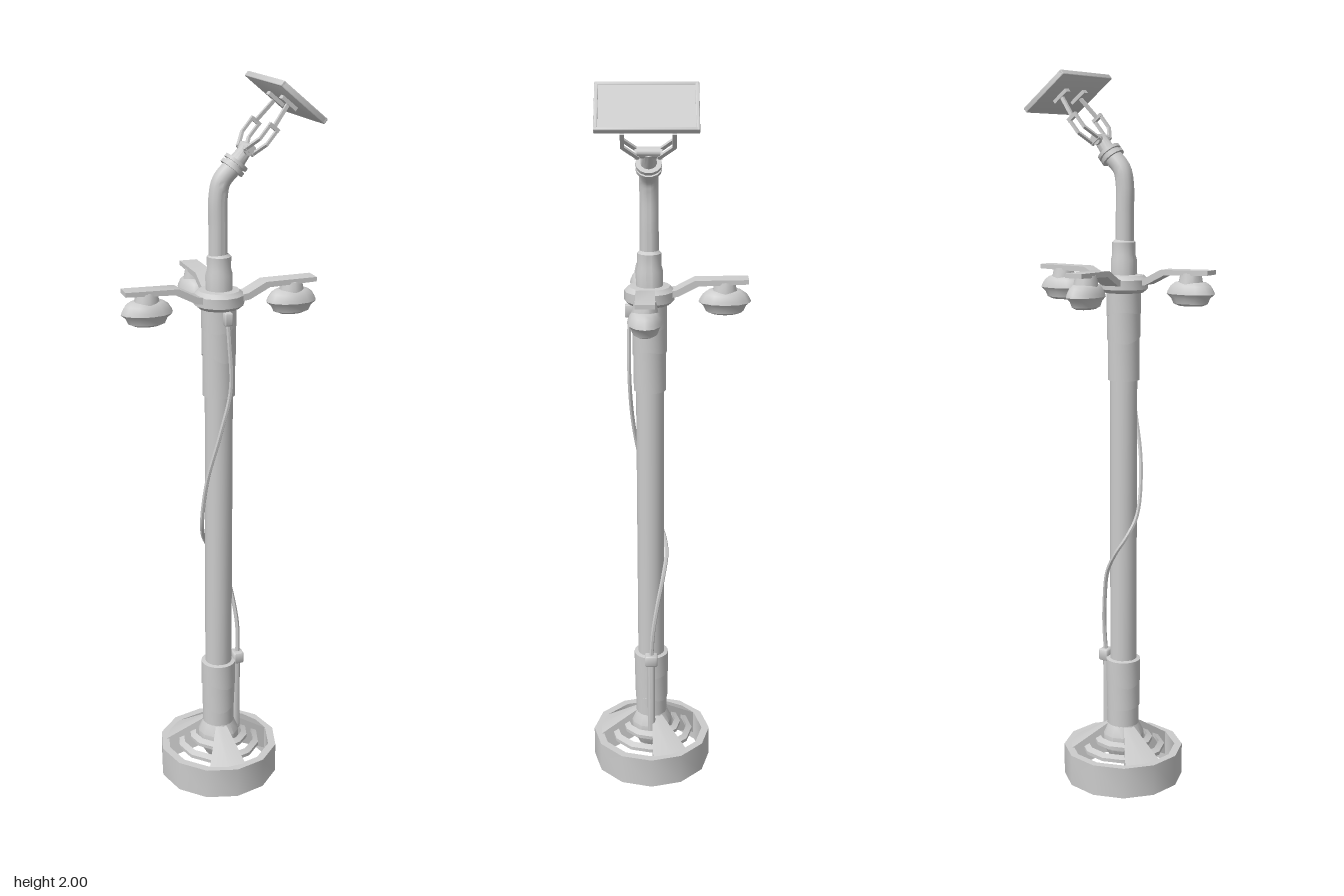
import * as THREE from 'three';
import { toCreasedNormals } from 'three/addons/utils/BufferGeometryUtils.js';
import { RoundedBoxGeometry } from 'three/addons/geometries/RoundedBoxGeometry.js';

const material = new THREE.MeshStandardMaterial({ color: 0xcccccc, side: THREE.DoubleSide });
const V = (x, y, z) => new THREE.Vector3(x, y, z);

function add(parent, name, geometry, x = 0, y = 0, z = 0) {
  const mesh = new THREE.Mesh(toCreasedNormals(geometry, 0.65), material);
  mesh.name = name;
  mesh.position.set(x, y, z);
  parent.add(mesh);
  return mesh;
}

// Surface of revolution from [radius, height] pairs listed bottom to top
const lathe = (pairs, sides = 12, start = 0, sweep = Math.PI * 2) =>
  new THREE.LatheGeometry(pairs.map(([r, y]) => new THREE.Vector2(r, y)), sides, start, sweep);

const tube = (points, r, segments = 32, sides = 8) =>
  new THREE.TubeGeometry(new THREE.CatmullRomCurve3(points), segments, r, sides);

// Straight bar between two points
function bar(parent, name, a, b, width, depth) {
  const mesh = add(parent, name, new THREE.BoxGeometry(width, a.distanceTo(b), depth));
  mesh.position.copy(a).add(b).multiplyScalar(0.5);
  mesh.quaternion.setFromUnitVectors(V(0, 1, 0), b.clone().sub(a).normalize());
}

// Sleeve wrapped round the pole with a wavy lower edge
function wrap(parent, name, r, low, high, wave, phase) {
  const geometry = lathe([[0.03, low], [r, low], [r, high - 0.004], [0.03, high]], 24);
  const p = geometry.attributes.position;
  for (let i = 0; i < p.count; i++) {
    if (p.getY(i) > low + 0.001) continue;
    const a = Math.atan2(p.getZ(i), p.getX(i));
    p.setY(i, low + wave * (Math.sin(a * 2 + phase) + 0.5 * Math.sin(a * 3)));
  }
  geometry.computeVertexNormals();
  add(parent, name, geometry);
}

function createBase() {
  const base = new THREE.Group();
  base.name = 'base';
  add(base, 'baseRim', lathe([[0.15, 0], [0.172, 0], [0.172, 0.09], [0.15, 0.09], [0.15, 0]]));
  for (const [r, y] of [[0.12, 0.088], [0.085, 0.11]]) {
    add(base, 'innerRing', lathe([[r - 0.016, y], [r, y - 0.006], [r, y + 0.004],
      [r - 0.016, y + 0.012], [r - 0.016, y]]));
  }
  add(base, 'poleFoot', lathe([[0.036, 0.05], [0.06, 0.09], [0.06, 0.13], [0.046, 0.16]]));

  // Three sloping wedge braces joining the rim to the pole
  const profile = [[0.036, 0.075], [0.152, 0.02], [0.152, 0.09], [0.046, 0.158], [0.036, 0.075]];
  const side = new THREE.Shape(profile.map(([r, y]) => new THREE.Vector2(r, y)));
  for (let i = 0; i < 3; i++) {
    const start = THREE.MathUtils.degToRad(-8 - 20 + i * 120);
    const sweep = THREE.MathUtils.degToRad(40);
    add(base, 'brace', lathe(profile, 2, start, sweep));
    for (const angle of [start, start + sweep]) {
      add(base, 'braceSide', new THREE.ShapeGeometry(side)).rotation.y = angle - Math.PI / 2;
    }
  }
  return base;
}

function createLamp() {
  const lamp = new THREE.Group();
  lamp.name = 'lamp';
  // Flat arm rising from the collar
  const outline = [[0.045, 1.43], [0.075, 1.435], [0.13, 1.463], [0.262, 1.468],
    [0.262, 1.48], [0.12, 1.478], [0.07, 1.452], [0.045, 1.448]];
  const shape = new THREE.Shape(outline.map(([x, y]) => new THREE.Vector2(x, y)));
  const arm = new THREE.ExtrudeGeometry(shape, { depth: 0.05, bevelEnabled: false });
  add(lamp, 'lampArm', arm, 0, 0, -0.025);
  add(lamp, 'lampNeck', new THREE.CylinderGeometry(0.028, 0.034, 0.03, 10), 0.2, 1.456, 0);
  // Oval lamp head with a flared lip and domed glass
  const head = lathe([[0, 1.383], [0.035, 1.384], [0.05, 1.39], [0.057, 1.405], [0.07, 1.416],
    [0.067, 1.424], [0.058, 1.438], [0.045, 1.447], [0, 1.449]], 12);
  add(lamp, 'lampHead', head, 0.2, 0, 0).scale.z = 0.66;
  return lamp;
}

function createPanelMount() {
  const mount = new THREE.Group();
  mount.name = 'panelMount';
  add(mount, 'flange', lathe([[0, -0.012], [0.034, -0.012], [0.034, -0.002], [0.027, -0.002],
    [0.027, 0.004], [0.034, 0.004], [0.034, 0.013], [0, 0.013]], 14));
  add(mount, 'stem', new THREE.CylinderGeometry(0.017, 0.022, 0.05, 12), 0, 0.03, 0);
  const hinge = add(mount, 'hinge', new THREE.CylinderGeometry(0.015, 0.015, 0.06, 12), 0, 0.052, 0);
  hinge.rotation.x = Math.PI / 2;

  // Yoke with paired lower bars and single upper struts
  for (const s of [-1, 1]) {
    for (const x of [-0.012, 0.012]) {
      bar(mount, 'yokeBar', V(x, 0.045, s * 0.025), V(x, 0.085, s * 0.065), 0.007, 0.01);
      bar(mount, 'yokeBar', V(x, 0.082, s * 0.065), V(x, 0.13, s * 0.065), 0.007, 0.01);
    }
    for (const y of [0.05, 0.128]) {
      add(mount, 'yokeLink', new THREE.BoxGeometry(0.032, 0.01, 0.011), 0, y, s * (y > 0.1 ? 0.065 : 0.029));
    }
    bar(mount, 'yokeStrut', V(0, 0.125, s * 0.065), V(0, 0.205, s * 0.045), 0.009, 0.009);
    add(mount, 'strutFoot', new THREE.BoxGeometry(0.05, 0.01, 0.02), 0, 0.2, s * 0.045);
  }

  // Solar panel with a raised frame
  const panel = new THREE.Group();
  panel.name = 'solarPanel';
  panel.position.set(0, 0.211, 0.003);
  add(panel, 'panelBack', new RoundedBoxGeometry(0.154, 0.012, 0.254, 2, 0.005));
  add(panel, 'panelFace', new THREE.BoxGeometry(0.135, 0.004, 0.235), 0, 0.006, 0);
  for (const s of [-1, 1]) {
    add(panel, 'panelFrame', new RoundedBoxGeometry(0.01, 0.016, 0.254, 2, 0.003), s * 0.072, 0.002, 0);
    add(panel, 'panelFrame', new RoundedBoxGeometry(0.154, 0.016, 0.01, 2, 0.003), 0, 0.002, s * 0.122);
  }
  mount.add(panel);
  mount.position.set(0.04, 1.78, 0);
  mount.rotation.z = -0.69;
  return mount;
}

export function createModel() {
  const model = new THREE.Group();
  model.name = 'solarStreetLamp';
  const post = new THREE.Group();
  post.name = 'post';
  post.position.z = 0.053;
  model.add(post);
  post.add(createBase());

  // Pole, with wrapped sleeves low and high
  add(post, 'pole', new THREE.CylinderGeometry(0.038, 0.038, 1.38, 16), 0, 0.74, 0);
  wrap(post, 'lowerSleeve', 0.045, 0.09, 0.22, 0, 0);
  wrap(post, 'lowerSleeve', 0.047, 0.21, 0.3, 0.006, 1);
  wrap(post, 'lowerSleeve', 0.049, 0.285, 0.36, 0.006, 3);
  wrap(post, 'upperSleeve', 0.044, 1.17, 1.3, 0, 0);
  wrap(post, 'upperSleeve', 0.046, 1.28, 1.37, 0.008, 2);
  wrap(post, 'upperSleeve', 0.047, 1.355, 1.42, 0.006, 0);

  // Collar, neck and bent upper pole
  add(post, 'collar', lathe([[0.03, 1.41], [0.055, 1.412], [0.067, 1.422], [0.067, 1.448],
    [0.055, 1.459], [0.03, 1.461]], 14));
  add(post, 'neck', lathe([[0.036, 1.45], [0.036, 1.5], [0.032, 1.515], [0.032, 1.548], [0.024, 1.555]], 14));
  add(post, 'upperPole', tube([V(-0.003, 1.53, 0), V(-0.003, 1.62, 0), V(-0.003, 1.7, 0),
    V(0.006, 1.742, 0), V(0.037, 1.777, 0)], 0.025, 24, 14));

  // Lamps on both sides and at the back
  for (const [angle, offset] of [[0, 0.01], [Math.PI, 0.01], [Math.PI / 2, 0]]) {
    const lamp = createLamp();
    lamp.rotation.y = angle;
    lamp.position.z = offset;
    post.add(lamp);
  }
  post.add(createPanelMount());

  // Cable winding down round the pole to the junction box
  add(post, 'cable', tube([V(0.005, 1.41, 0.05), V(0.01, 1.33, 0.055), V(0.015, 1.2, 0.055),
    V(-0.012, 1.07, 0.047), V(-0.042, 0.93, 0.025), V(-0.047, 0.79, -0.005), V(-0.03, 0.73, -0.034),
    V(0, 0.68, -0.045), V(0.032, 0.62, -0.036), V(0.05, 0.54, -0.02), V(0.06, 0.45, -0.006),
    V(0.058, 0.36, 0)], 0.006, 64, 6));
  add(post, 'cableClip', new RoundedBoxGeometry(0.022, 0.035, 0.025, 2, 0.004), 0.006, 1.393, 0.053);
  add(post, 'junctionBox', new RoundedBoxGeometry(0.03, 0.034, 0.036, 2, 0.005), 0.058, 0.358, 0);
  add(post, 'conduit', new THREE.CylinderGeometry(0.011, 0.011, 0.23, 10), 0.055, 0.235, 0);
  return model;
}
